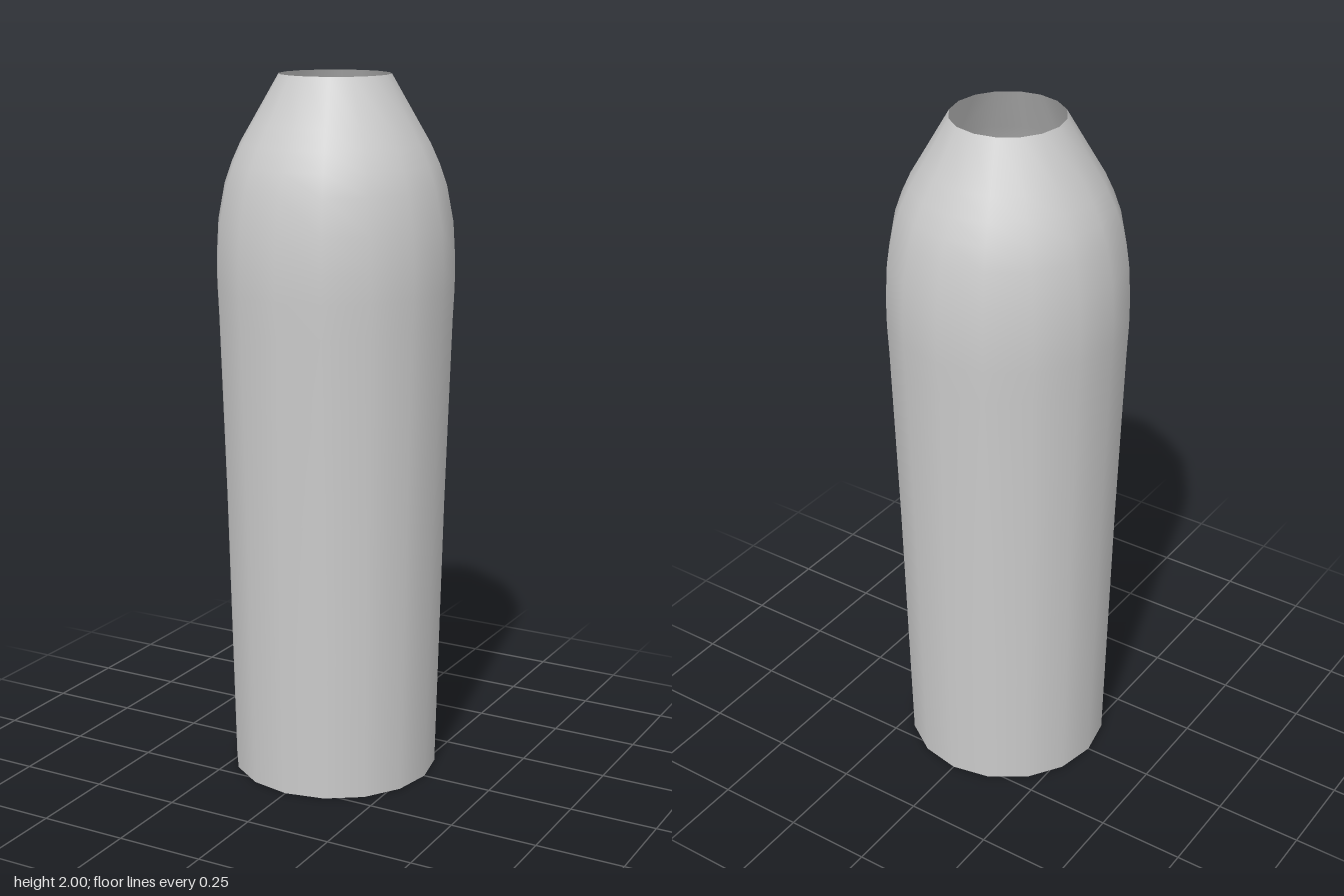
import * as THREE from 'three';

export function createModel() {
  const group = new THREE.Group();
  group.name = 'sleeve';

  // Open sixteen-sided shell: a slightly flaring body with a tapered shoulder
  const profile = [
    [0.295, 0], [0.304, 0.4], [0.313, 0.8], [0.322, 1.1], [0.329, 1.33],
    [0.333, 1.42], [0.333, 1.5], [0.327, 1.6], [0.308, 1.7], [0.287, 1.76],
    [0.262, 1.815], [0.23, 1.87], [0.155, 2],
  ].map(([r, y]) => new THREE.Vector2(r, y));

  const shell = new THREE.Mesh(
    new THREE.LatheGeometry(profile, 16),
    new THREE.MeshStandardMaterial({ color: 0xcccccc, side: THREE.DoubleSide })
  );
  shell.name = 'shell';
  group.add(shell);
  return group;
}
